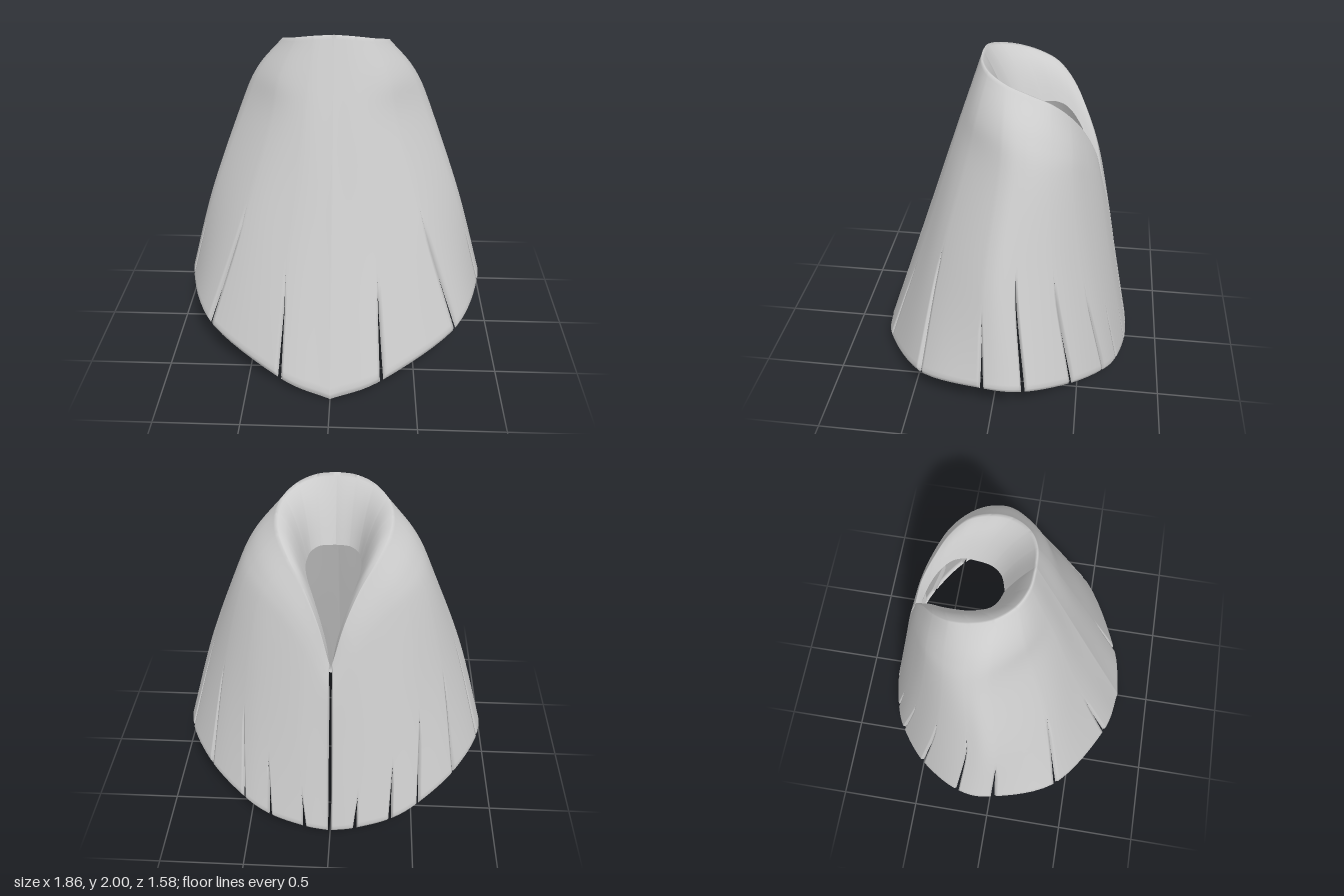
import * as THREE from 'three';
import { mergeVertices } from 'three/addons/utils/BufferGeometryUtils.js';

// Cross-section curves of the left half, front centre to back centre.
const curve = pts => new THREE.CatmullRomCurve3(pts.map(p => new THREE.Vector3(...p)), false, 'catmullrom', 0.5);

const lip = curve([[0, 1.63, -.03], [.08, 1.64, -.06], [.13, 1.64, -.12], [.147, 1.64, -.2], [.15, 1.64, -.28],
  [.137, 1.61, -.35], [.1, 1.53, -.42], [.06, 1.42, -.475], [.027, 1.3, -.515], [.006, 1.17, -.545]]);
const crest = curve([[0, 2, .13], [.11, 1.99, .12], [.21, 1.965, .07], [.285, 1.93, -.03], [.31, 1.89, -.15],
  [.295, 1.835, -.27], [.235, 1.74, -.37], [.15, 1.61, -.45], [.07, 1.43, -.525], [.006, 1.2, -.575]]);
const neck = curve([[0, 1.75, .215], [.145, 1.755, .2], [.31, 1.75, .125], [.435, 1.74, -.03], [.455, 1.72, -.16],
  [.425, 1.67, -.285], [.345, 1.6, -.395], [.23, 1.49, -.48], [.115, 1.33, -.55], [.007, 1.12, -.6]]);
const shoulder = curve([[0, 1.5, .3], [.17, 1.5, .28], [.36, 1.5, .18], [.535, 1.5, -.02], [.56, 1.5, -.16],
  [.52, 1.47, -.29], [.42, 1.42, -.41], [.29, 1.33, -.5], [.15, 1.19, -.575], [.008, 1.0, -.63]]);
const waist = curve([[0, .9, .5], [.245, .9, .46], [.53, .93, .32], [.745, .95, .04], [.735, .98, -.14],
  [.645, .95, -.34], [.505, .87, -.495], [.36, .8, -.59], [.18, .73, -.66], [.01, .67, -.69]]);
const hem = curve([[0, .01, .8], [.31, .1, .725], [.755, .265, .435], [.922, .345, .04], [.915, .34, -.21],
  [.755, .28, -.475], [.535, .19, -.66], [.365, .13, -.74], [.155, .095, -.79], [.01, .075, -.8]]);

// Where each slit starts down the cloth (the last one is the full back opening).
const slitTop = [2, .83, .73, .83, .73, .75, .79, .865, .92, 0];
const PANELS = 9;
const HALF_GAP = 0.011;
const FOLD = 0.022;

// Point on the cloth: u runs around, v runs from the collar crest (0) to the hem (1)
function clothPoint(u, v) {
  const t = THREE.MathUtils.clamp(u / PANELS, 0, 1);
  const column = [crest, neck, shoulder, waist, hem].map(c => c.getPoint(t));
  return new THREE.CatmullRomCurve3(column, false, 'catmullrom', 0.5).getPoint(THREE.MathUtils.clamp(v, 0, 1));
}

function clothNormal(u, v) {
  const e = 0.01;
  const du = clothPoint(u + e, v).sub(clothPoint(u - e, v));
  const dv = clothPoint(u, v + e).sub(clothPoint(u, v - e));
  return dv.cross(du).normalize();
}

// Collar rolled inward from the crest to the lip, fullest at the sides
function collarPoint(u, c) {
  const t = u / PANELS;
  const p = lip.getPoint(t).lerp(crest.getPoint(t), c);
  p.y += Math.sin(Math.PI * c) * (0.02 + 0.04 * Math.sin(Math.PI * t)) * (1 - t * t);
  return p;
}

// Grid of points mirrored to both halves
function addGrid(out, us, vs, point) {
  const w = us.length;
  const grid = vs.flatMap(v => us.map(u => point(u, v)));
  for (const side of [1, -1]) {
    const base = out.positions.length / 3;
    for (const p of grid) out.positions.push(p.x * side, p.y, p.z);
    for (let j = 0; j < vs.length - 1; j++) {
      for (let i = 0; i < w - 1; i++) {
        const a = base + j * w + i, b = a + 1, c = a + w, d = c + 1;
        if (side > 0) out.indices.push(a, c, b, b, c, d);
        else out.indices.push(a, b, c, b, d, c);
      }
    }
  }
}

function buildGeometry({ positions, indices }) {
  const g = new THREE.BufferGeometry();
  g.setAttribute('position', new THREE.Float32BufferAttribute(positions, 3));
  g.setIndex(indices);
  const merged = mergeVertices(g, 1e-4);
  merged.computeVertexNormals();
  return merged;
}

export function createModel() {
  const group = new THREE.Group();
  group.name = 'cape';
  const cloth = new THREE.MeshStandardMaterial({ color: 0xcccccc, side: THREE.DoubleSide });
  cloth.name = 'grey cloth';

  const out = { positions: [], indices: [] };
  const across = [0, .02, .06, .2, .35, .5, .65, .8, .94, .98, 1];
  const down = Array.from({ length: 41 }, (_, i) => i / 40 * 0.98).concat([.99, .996, 1]);
  const open = (i, v) => Math.max(0, (v - slitTop[i]) / Math.abs(1 - slitTop[i]));
  const roll = (x, size) => Math.max(0, 1 - x / size);

  for (let k = 0; k < PANELS; k++) {
    const width = hem.getPoint(k / PANELS).distanceTo(hem.getPoint((k + 1) / PANELS));
    const gap = HALF_GAP / width;

    // Panel between two tapering slits, with its edges rolled inward
    addGrid(out, across, down, (s, v) => {
      const left = open(k, v), right = open(k + 1, v);
      const a = left * gap, b = k + 1 < PANELS ? right * gap : 0;
      const u = k + a + s * (1 - a - b);
      const p = clothPoint(u, v);
      const sideRoll = Math.max(roll(s, .02) * Math.min(1, left * 4), roll(1 - s, .02) * Math.min(1, right * 4));
      const depth = FOLD * Math.max(sideRoll, roll(1 - v, .008));
      return depth > 0 ? p.addScaledVector(clothNormal(u, v), -depth) : p;
    });

    // Collar strip above this panel
    addGrid(out, across, [0, .17, .33, .5, .67, .83, .93, 1], (s, c) => collarPoint(k + s, c));
  }

  const cape = new THREE.Mesh(buildGeometry(out), cloth);
  cape.name = 'slitCapeWithCollar';
  group.add(cape);
  return group;
}
